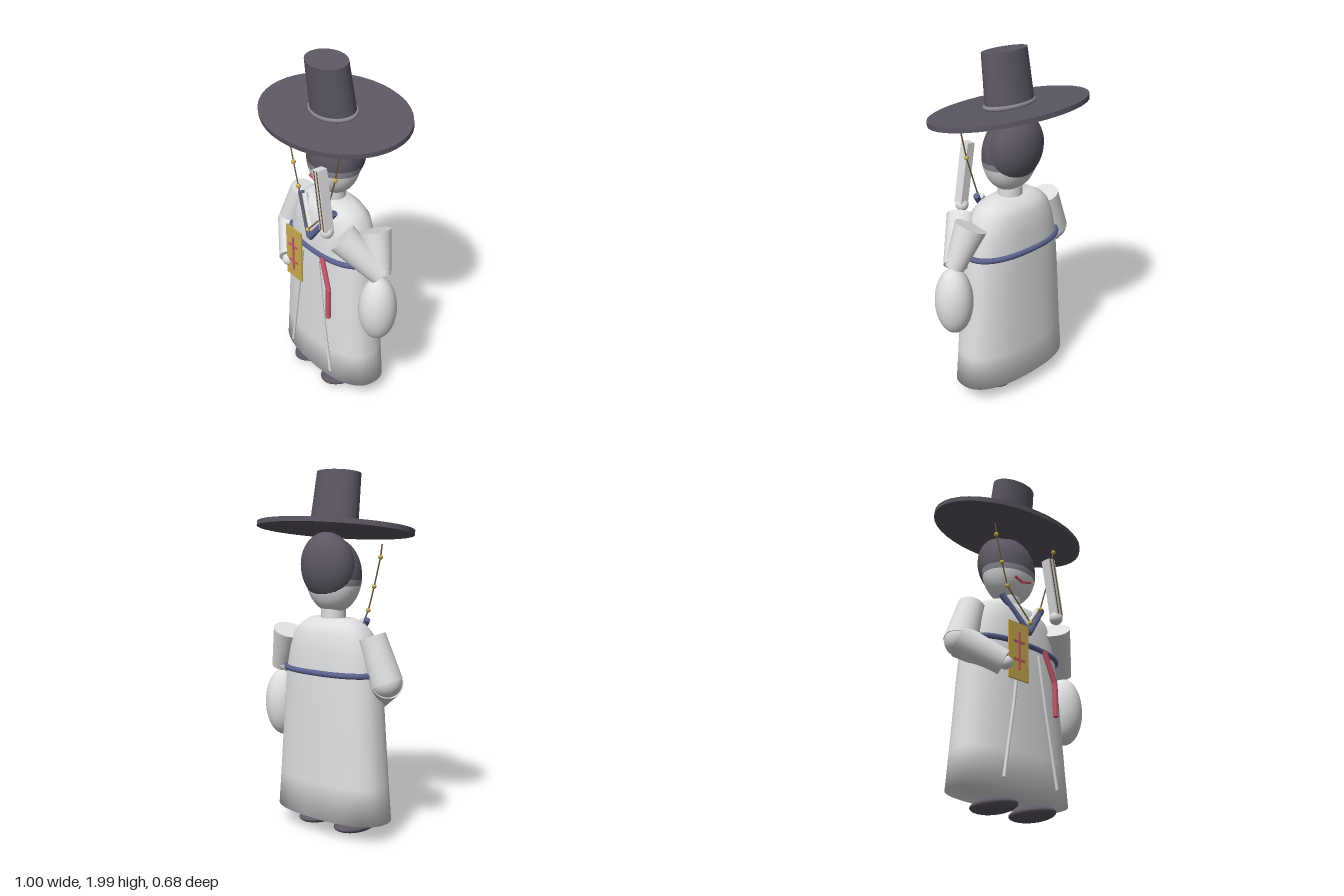
import * as THREE from 'three';

const mat = (name, color) => {
  const m = new THREE.MeshStandardMaterial({ color });
  m.name = name;
  return m;
};
const CX = -0.013; // body axis
const V = (x, y, z) => new THREE.Vector3(x, y, z);

export function createModel() {
  const white = mat('white cloth', 0xdedfe1);
  const dark = mat('dark horsehair', 0x5c5763);
  const band = mat('grey band', 0x8a8790);
  const blue = mat('blue trim', 0x5c628e);
  const red = mat('red', 0xc8586c);
  const gold = mat('gold', 0xc9ab50);
  const brown = mat('brown cord', 0x6b5a40);

  const root = new THREE.Group();
  root.name = 'robedFigure';
  const add = (name, geo, material, p = [0, 0, 0], parent = root) => {
    const m = new THREE.Mesh(geo, material);
    m.name = name;
    m.position.set(...p);
    parent.add(m);
    return m;
  };
  const ball = (name, material, p, r, t0 = 0, t1 = Math.PI, parent = root) =>
    add(name, new THREE.SphereGeometry(1, 32, 24, 0, Math.PI * 2, t0, t1 - t0)
      .scale(...r), material, p, parent);
  // straight rod between two points
  const rod = (name, material, a, b, ra, rb = ra, sides = 24) => {
    const A = V(...a), B = V(...b), d = B.clone().sub(A);
    const m = add(name, new THREE.CylinderGeometry(rb, ra, d.length(), sides), material,
      A.clone().add(B).multiplyScalar(0.5).toArray());
    m.quaternion.setFromUnitVectors(V(0, 1, 0), d.normalize());
    return m;
  };
  const rods = (name, material, pts, r, sides = 8) => {
    for (let i = 1; i < pts.length; i++) rod(name, material, pts[i - 1], pts[i], r, r, sides);
  };

  // rounded cross-section used by robe and belt
  const section = (a, rx, rz) => {
    const f = (v) => Math.sign(v) * Math.pow(Math.abs(v), 2 / 2.4);
    return [rx * f(Math.sin(a)), rz * f(Math.cos(a))];
  };

  // robe: lofted rings, closed with smooth caps
  const rings = [
    [0.1, 0.375, 0.18], [0.3, 0.357, 0.175], [0.5, 0.34, 0.171], [0.7, 0.325, 0.166],
    [0.91, 0.305, 0.16], [1.03, 0.28, 0.152], [1.12, 0.245, 0.14], [1.165, 0.205, 0.112],
    [1.2, 0.145, 0.066],
  ];
  const N = 48, pos = [], idx = [];
  for (const [y, rx, rz] of rings)
    for (let i = 0; i < N; i++) {
      const [x, z] = section((i / N) * Math.PI * 2, rx, rz);
      pos.push(x, y, z);
    }
  for (let k = 0; k < rings.length - 1; k++)
    for (let i = 0; i < N; i++) {
      const a = k * N + i, b = k * N + ((i + 1) % N);
      idx.push(a, b, b + N, a, b + N, a + N);
    }
  const top = (rings.length - 1) * N, c0 = rings.length * N;
  pos.push(0, 0.1, 0, 0, 1.2, 0);
  for (let i = 0; i < N; i++) {
    const j = (i + 1) % N;
    idx.push(c0, j, i, c0 + 1, top + i, top + j);
  }
  const robe = new THREE.BufferGeometry();
  robe.setAttribute('position', new THREE.Float32BufferAttribute(pos, 3));
  robe.setIndex(idx);
  robe.computeVertexNormals();
  add('robe', robe, white, [CX, 0, 0]);

  // chest belt
  const loop = [];
  for (let i = 0; i < 48; i++) {
    const [x, z] = section((i / 48) * Math.PI * 2, 0.31, 0.16);
    loop.push(V(x, 0.91, z));
  }
  add('belt', new THREE.TubeGeometry(new THREE.CatmullRomCurve3(loop, true), 96, 0.016, 10, true),
    blue, [CX, 0, 0]);

  // paired details: collar, robe seams, shoes
  for (const s of [-1, 1]) {
    rod('collar', blue, [CX + s * 0.15, 1.19, 0.11], [CX, 0.985, 0.165], 0.018, 0.018, 10);
    rod('innerCollar', white, [CX + s * 0.122, 1.185, 0.105], [CX, 1.035, 0.155], 0.017, 0.017, 10);
    rods('robeSeam', white, [[CX + s * 0.07, 0.87, 0.163], [CX + s * 0.115, 0.55, 0.168],
      [CX + s * 0.183, 0.15, 0.17]], 0.009);
    ball('shoe', dark, [CX + s * 0.132, 0.04, 0.036], [0.1, 0.034, 0.145]);
  }

  // ribbon hanging from the belt
  rods('ribbon', red, [[0.098, 0.91, 0.168], [0.165, 0.735, 0.176], [0.165, 0.545, 0.178]], 0.015);

  // neck and head, split into face, headband and cap
  add('neck', new THREE.CylinderGeometry(0.068, 0.068, 0.1, 24), white, [CX, 1.2, 0]);
  const hc = [CX, 1.43, 0], hr = [0.17, 0.205, 0.133];
  const t = (y) => Math.acos((y - 1.43) / 0.205);
  ball('cap', dark, hc, hr, 0, t(1.412));
  ball('headband', band, hc, hr, t(1.412), t(1.378));
  ball('face', white, hc, hr, t(1.378), Math.PI);
  ball('hair', dark, [CX, 1.475, -0.045], [0.168, 0.192, 0.122]).rotation.x = -0.12;
  rods('mouth', red, [[-0.07, 1.336, 0.116], [CX, 1.318, 0.117], [0.048, 1.338, 0.116]], 0.008);

  // hat, squashed front to back and tilted forward
  const hat = new THREE.Group();
  hat.name = 'hat';
  hat.position.set(CX, 1.684, 0);
  hat.rotation.x = 0.148;
  root.add(hat);
  const squash = (g) => g.scale(1, 1, 0.7);
  add('brim', squash(new THREE.CylinderGeometry(0.487, 0.487, 0.026, 40)), dark, [0, 0, 0], hat);
  add('crown', squash(new THREE.CylinderGeometry(0.137, 0.15, 0.29, 40)), dark, [0, 0.158, 0], hat);
  add('hatBand', squash(new THREE.TorusGeometry(0.15, 0.012, 10, 48).rotateX(Math.PI / 2)),
    band, [0, 0.025, 0], hat);

  // beaded hat strings
  const strings = [
    [[-0.24, 1.6, 0.138], [-0.23, 1.53, 0.138], [-0.187, 1.37, 0.138], [-0.147, 1.237, 0.138], [CX, 1.04, 0.178]],
    [[0.218, 1.595, 0.138], [0.177, 1.415, 0.138], [0.1, 1.175, 0.138], [CX, 1.04, 0.178]],
  ];
  strings.forEach((pts, k) => {
    rods('hatString', brown, pts, 0.004, 6);
    pts.slice(k ? 0 : 1).forEach((p) => ball('bead', gold, p, [0.013, 0.013, 0.013]));
  });

  // right arm, hand and painted paper
  rod('rightUpperSleeve', white, [-0.285, 1.115, 0], [-0.37, 0.87, 0.02], 0.076, 0.09);
  rod('rightLowerSleeve', white, [-0.375, 0.875, 0.02], [-0.195, 0.755, 0.165], 0.09, 0.07);
  ball('rightElbow', white, [-0.37, 0.875, 0.02], [0.085, 0.085, 0.085]);
  ball('rightHand', white, [-0.197, 0.75, 0.185], [0.036, 0.036, 0.036]);
  add('paper', new THREE.BoxGeometry(0.14, 0.325, 0.009), gold, [-0.121, 0.835, 0.195]);
  add('paperMark', new THREE.BoxGeometry(0.011, 0.215, 0.008), red, [-0.122, 0.833, 0.202]);
  for (const y of [0.885, 0.783])
    add('paperMark', new THREE.BoxGeometry(0.078, 0.011, 0.008), red, [-0.122, y, 0.202]);

  // left arm with hanging sleeve
  rod('leftUpperSleeve', white, [0.3, 1.11, -0.03], [0.395, 0.89, 0], 0.09, 0.055);
  rod('leftLowerSleeve', white, [0.39, 0.895, 0], [0.22, 1.09, 0.13], 0.065, 0.088);
  ball('hangingSleeve', white, [0.393, 0.675, 0.015], [0.105, 0.197, 0.107]);
  ball('leftHand', white, [0.172, 1.125, 0.19], [0.037, 0.037, 0.037]);

  // folded fan
  const fan = new THREE.Group();
  fan.name = 'fan';
  fan.position.set(0.147, 1.305, 0.192);
  fan.rotation.z = 0.17;
  root.add(fan);
  add('fanBody', new THREE.BoxGeometry(0.05, 0.345, 0.056), white, [0, 0, 0], fan);
  for (const x of [-0.012, 0.012])
    add('fanRib', new THREE.BoxGeometry(0.006, 0.335, 0.006), brown, [x, 0, 0.028], fan);

  return root;
}
